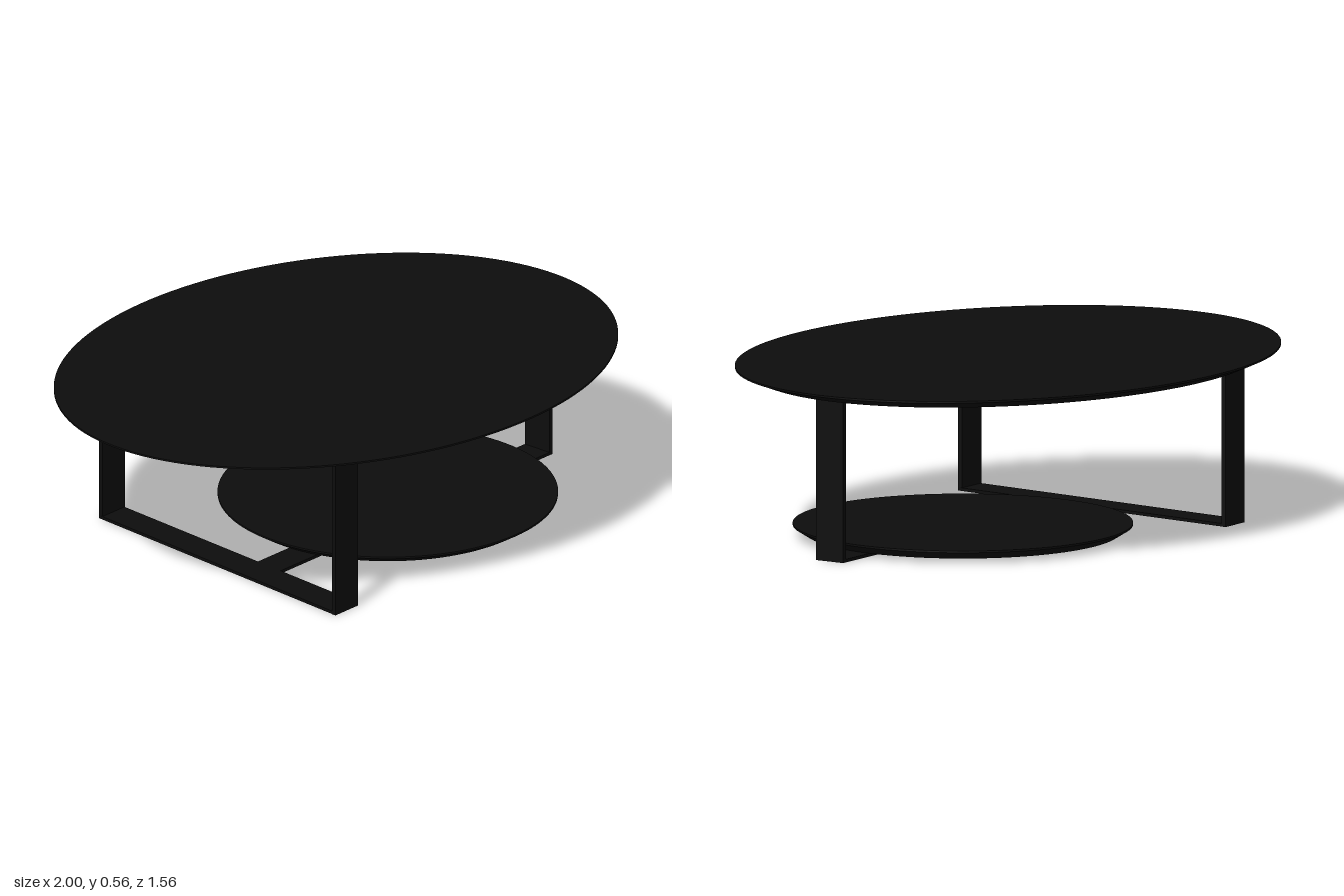
import * as THREE from 'three';
import { toCreasedNormals } from 'three/addons/utils/BufferGeometryUtils.js';

const black = new THREE.MeshStandardMaterial({ color: 0x0d0d0d });
black.name = 'black';

function add(parent, name, geometry) {
  const mesh = new THREE.Mesh(geometry, black);
  mesh.name = name;
  parent.add(mesh);
  return mesh;
}

// Round slab with a thin upright lip and an undercut edge, radii rx and rz
function bevelledSlab(rx, rz, bottomScale, y0, y1) {
  const profile = [[0, y0], [bottomScale, y0], [1, y1 - 0.006], [1, y1], [0, y1]]
    .map(([r, y]) => new THREE.Vector2(r, y));
  const geometry = new THREE.LatheGeometry(profile, 128);
  geometry.scale(rx, 1, rz);
  return toCreasedNormals(geometry, Math.PI / 9);
}

// Flat T-shaped strip: slanted crossbar and a stem, drawn in x and z
function teeStrip(top, thickness) {
  const shape = new THREE.Shape([
    [-0.58, 0.51], [-0.47, 0.51], [-0.438, 0.15], [0.88, 0.15],
    [0.88, 0.045], [-0.429, 0.045], [-0.373, -0.59], [-0.48, -0.59],
  ].map(([x, z]) => new THREE.Vector2(x, z)));
  const geometry = new THREE.ExtrudeGeometry(shape, { depth: thickness, bevelEnabled: false });
  geometry.rotateX(Math.PI / 2);
  geometry.translate(0, top, 0);
  return geometry;
}

export function createModel() {
  const table = new THREE.Group();
  table.name = 'coffeeTable';

  // Oval top, turned slightly against the frame
  const top = add(table, 'tableTop', bevelledSlab(1.002, 0.777, 0.93, 0.531, 0.562));
  top.rotation.y = -0.1;

  // Low round shelf
  const shelf = add(table, 'lowerShelf', bevelledSlab(0.546, 0.546, 0.925, 0.0105, 0.042));
  shelf.position.set(0.226, 0, 0.022);

  // Frame of flat strips: floor tee, matching tee under the top, three upright legs
  const frame = new THREE.Group();
  frame.name = 'frame';
  table.add(frame);
  add(frame, 'floorStrip', teeStrip(0.01, 0.01));
  add(frame, 'topStrip', teeStrip(0.531, 0.008));
  const legs = [
    ['frontLeg', -0.525, 0.502, 0.11, 0.016],
    ['backLeg', -0.4265, -0.582, 0.107, 0.016],
    ['sideLeg', 0.872, 0.0975, 0.016, 0.105],
  ];
  for (const [name, x, z, w, d] of legs) {
    add(frame, name, new THREE.BoxGeometry(w, 0.53, d)).position.set(x, 0.265, z);
  }
  return table;
}
